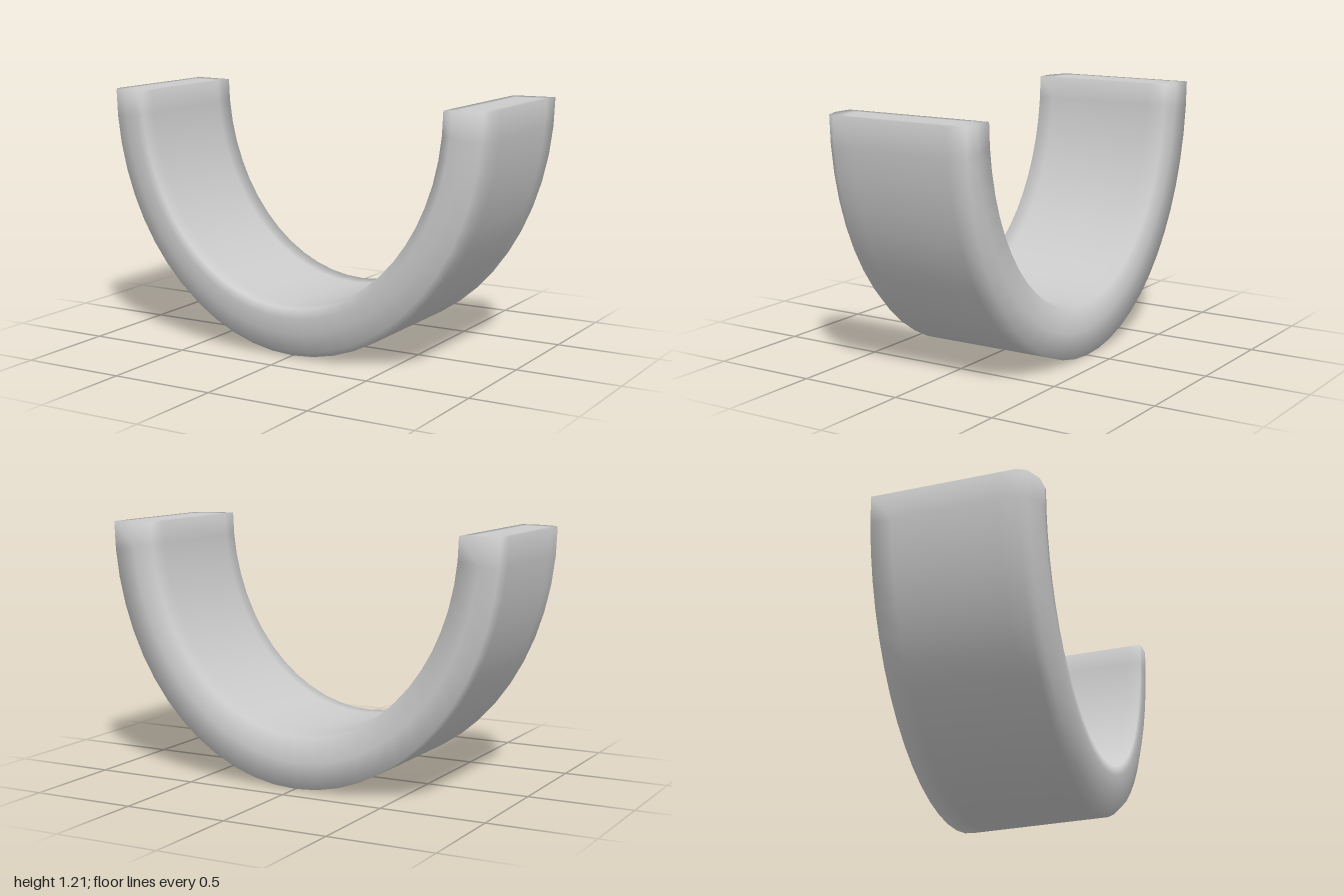
import * as THREE from 'three';

const RISE = 1.205; // height of the half ellipse, half width is 1
const STEPS = 28;

// Cross-section as [scale of the ellipse, z]: rounded outer front edge, slightly slanted back
const SECTION = [
  [1, -0.38], [1, -0.28], [1, 0.22], [1, 0.31], [0.975, 0.35], [0.9, 0.38],
  [0.84, 0.38], [0.8, 0.377], [0.8, 0.3], [0.8, -0.26], [0.8, -0.36], [0.9, -0.37],
];

function archGeometry() {
  const n = SECTION.length;
  const positions = [];
  const index = [];
  const add = (k, z, angle) => {
    positions.push(k * Math.sin(angle), RISE * (1 - k * Math.cos(angle)), z);
    return positions.length / 3 - 1;
  };
  const quad = (a, b, c, d) => index.push(a, b, c, a, c, d);

  // Sweep the section along the half ellipse
  for (let i = 0; i <= STEPS; i++) {
    const angle = Math.PI * (i / STEPS - 0.5);
    SECTION.forEach(([k, z]) => add(k, z, angle));
  }
  for (let i = 0; i < STEPS; i++) {
    for (let j = 0; j < n; j++) {
      const a = i * n + j;
      const b = i * n + (j + 1) % n;
      quad(a, a + n, b + n, b);
    }
  }

  // Flat ends: an inset ring, then a fan to the middle
  for (const side of [-1, 1]) {
    const angle = side * Math.PI / 2;
    const edge = side < 0 ? 0 : STEPS * n;
    const ring = positions.length / 3;
    SECTION.forEach(([k, z]) => add(0.9 + (k - 0.9) * 0.6, z * 0.8, angle));
    const middle = add(0.9, 0, angle);
    for (let j = 0; j < n; j++) {
      const next = (j + 1) % n;
      const [p, q] = side < 0 ? [j, next] : [next, j];
      quad(edge + p, edge + q, ring + q, ring + p);
      index.push(middle, ring + p, ring + q);
    }
  }

  const geometry = new THREE.BufferGeometry();
  geometry.setAttribute('position', new THREE.Float32BufferAttribute(positions, 3));
  geometry.setIndex(index);
  geometry.computeVertexNormals();
  return geometry;
}

export function createModel() {
  const group = new THREE.Group();
  group.name = 'halfRing';
  const arch = new THREE.Mesh(archGeometry(), new THREE.MeshStandardMaterial({ color: 0xcccccc }));
  arch.name = 'curvedBand';
  group.add(arch);
  return group;
}
